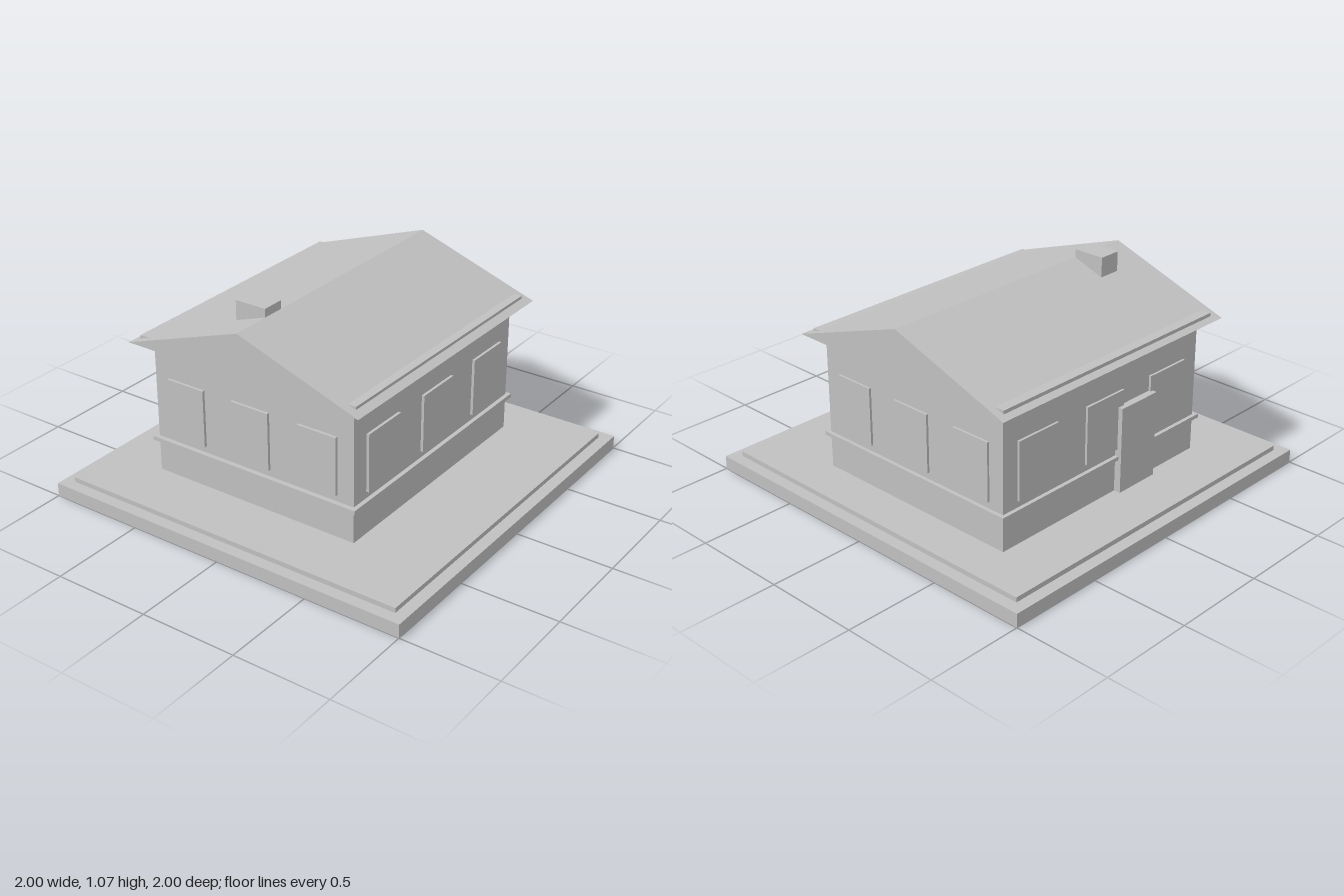
import * as THREE from 'three';

export function createModel() {
  const house = new THREE.Group();
  house.name = 'house';
  const plaster = new THREE.MeshStandardMaterial({ color: 0xc0c0c0 });
  plaster.name = 'plain grey';

  // Box given by its limits on each axis
  function box(name, [x0, x1], [y0, y1], [z0, z1], parent = house) {
    const mesh = new THREE.Mesh(new THREE.BoxGeometry(x1 - x0, y1 - y0, z1 - z0), plaster);
    mesh.position.set((x0 + x1) / 2, (y0 + y1) / 2, (z0 + z1) / 2);
    mesh.name = name;
    parent.add(mesh);
    return mesh;
  }

  // Plot in two tiers
  box('baseSlab', [-1, 1], [0, 0.07], [-1, 1]);
  box('groundTier', [-0.94, 0.94], [0.07, 0.095], [-0.94, 0.94]);

  // Walls with belt course and cornice
  box('walls', [-0.63, 0.72], [0.095, 0.79], [-0.65, 0.505]);
  box('beltCourse', [-0.655, 0.74], [0.265, 0.285], [-0.67, 0.527]);
  box('cornice', [-0.675, 0.76], [0.78, 0.83], [-0.694, 0.546]);

  // Gable roof: triangle extruded along x
  const gable = new THREE.Shape([
    new THREE.Vector2(-0.59, 0.8),
    new THREE.Vector2(0.73, 0.8),
    new THREE.Vector2(0.07, 1.027),
  ]);
  const roofGeometry = new THREE.ExtrudeGeometry(gable, { depth: 1.52, bevelEnabled: false });
  roofGeometry.rotateY(Math.PI / 2);
  const roof = new THREE.Mesh(roofGeometry, plaster);
  roof.position.x = -0.72;
  roof.name = 'roof';
  house.add(roof);

  // Chimney on the back slope
  box('chimney', [-0.512, -0.395], [0.9, 1.07], [-0.24, -0.07]);

  // Three raised windows on every wall
  const windows = new THREE.Group();
  windows.name = 'windows';
  house.add(windows);
  const height = [0.32, 0.62];
  for (const i of [-1, 0, 1]) {
    const x = 0.048 + i * 0.452;
    const z = -0.076 + i * 0.383;
    const alongX = [x - 0.128, x + 0.128];
    const alongZ = [z - 0.108, z + 0.108];
    box('frontWindow', alongX, height, [0.49, 0.519], windows);
    box('backWindow', alongX, height, [-0.662, -0.635], windows);
    box('leftWindow', [0.705, 0.732], height, alongZ, windows);
    box('rightWindow', [-0.645, -0.615], height, alongZ, windows);
  }

  // Door in the back wall
  box('door', [-0.292, -0.042], [0.095, 0.54], [-0.686, -0.64]);

  return house;
}
